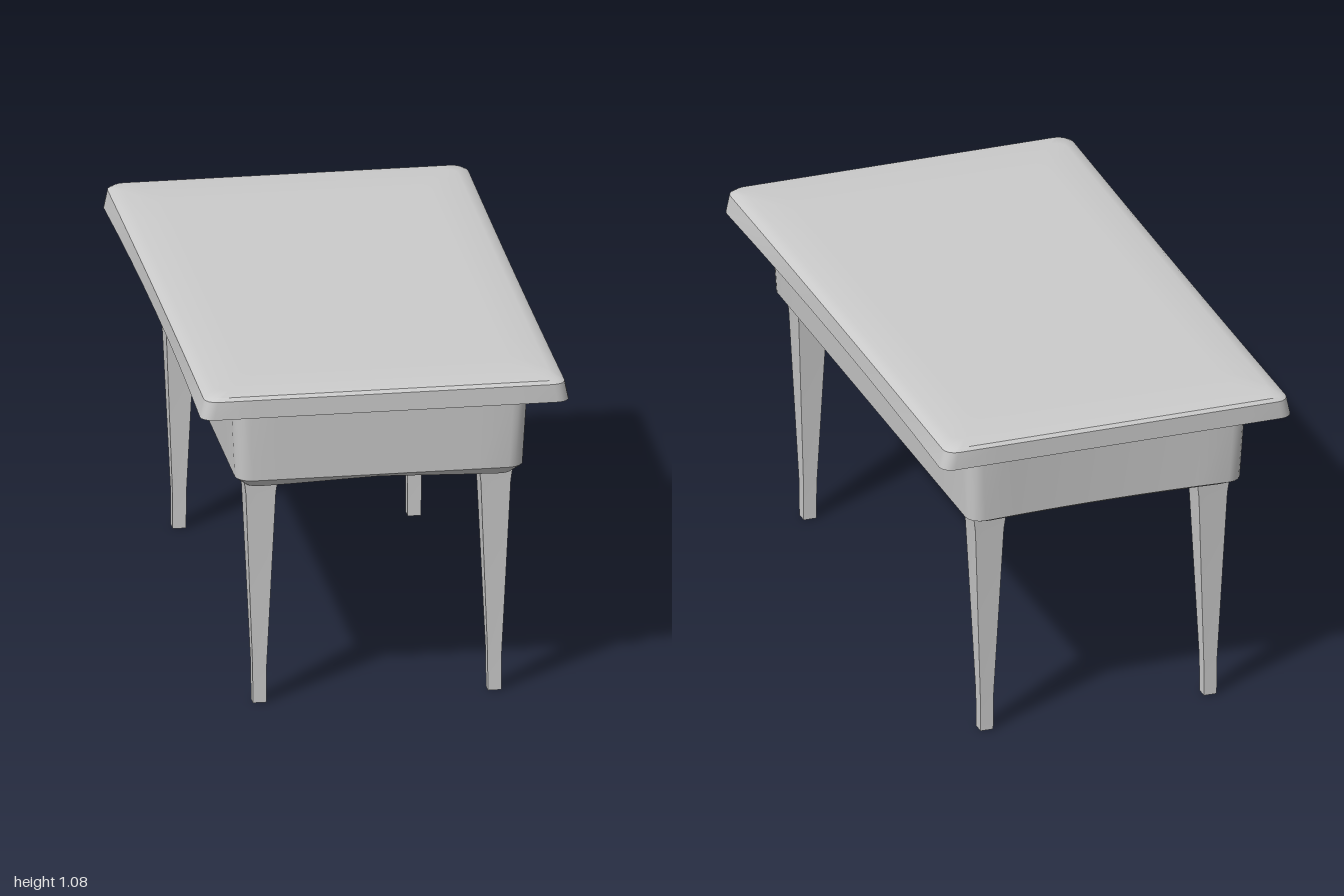
import * as THREE from 'three';
import { toCreasedNormals } from 'three/addons/utils/BufferGeometryUtils.js';

const material = new THREE.MeshStandardMaterial({ color: 0xcccccc });

// Rounded-rectangle outline with subdivided edges, as [x, z] points
function outline(hx, hz, r, steps = 4, edge = 8) {
  const corners = [[1, 1], [-1, 1], [-1, -1], [1, -1]];
  const pts = [];
  corners.forEach(([sx, sz], c) => {
    for (let i = 0; i <= steps; i++) {
      const a = (c + i / steps) * Math.PI / 2;
      pts.push([sx * (hx - r) + r * Math.cos(a), sz * (hz - r) + r * Math.sin(a)]);
    }
    const [nx, nz] = corners[(c + 1) % 4];
    const a = (c + 1) * Math.PI / 2;
    const ox = r * Math.cos(a), oz = r * Math.sin(a);
    for (let i = 1; i < edge; i++) {
      const t = i / edge;
      pts.push([
        THREE.MathUtils.lerp(sx, nx, t) * (hx - r) + ox,
        THREE.MathUtils.lerp(sz, nz, t) * (hz - r) + oz,
      ]);
    }
  });
  return pts;
}

// Closed solid through rings listed from bottom to top: { y, hx, hz, r }
function loft(rings, bend, crease) {
  const pos = [], index = [];
  let n = 0;
  rings.forEach((ring, k) => {
    const pts = outline(ring.hx, ring.hz, ring.r);
    n = pts.length;
    pts.forEach(([x, z]) => pos.push(...bend(x, ring.y, z, k)));
  });
  for (let k = 0; k < rings.length - 1; k++) {
    for (let i = 0; i < n; i++) {
      const a = k * n + i, b = k * n + (i + 1) % n;
      index.push(a, a + n, b, b, a + n, b + n);
    }
  }
  // Caps
  const last = rings.length - 1;
  const low = pos.length / 3;
  pos.push(...bend(0, rings[0].y, 0, 0), ...bend(0, rings[last].y, 0, last));
  for (let i = 0; i < n; i++) {
    const j = (i + 1) % n;
    index.push(low, i, j, low + 1, last * n + j, last * n + i);
  }
  const geo = new THREE.BufferGeometry();
  geo.setAttribute('position', new THREE.Float32BufferAttribute(pos, 3));
  geo.setIndex(index);
  return toCreasedNormals(geo, crease);
}

function add(parent, name, geometry) {
  const mesh = new THREE.Mesh(geometry, material);
  mesh.name = name;
  parent.add(mesh);
  return mesh;
}

// Tapered square leg: [y, half x, half z] sections from the foot up
function legGeometry() {
  const sections = [[0, 0.021, 0.02], [0.12, 0.022, 0.021], [0.7, 0.047, 0.046], [0.76, 0.055, 0.05]];
  const geo = new THREE.BoxGeometry(2, 1, 2, 1, sections.length - 1, 1);
  const p = geo.attributes.position;
  for (let i = 0; i < p.count; i++) {
    const [y, hx, hz] = sections[Math.round((p.getY(i) + 0.5) * (sections.length - 1))];
    p.setXYZ(i, p.getX(i) * hx, y, p.getZ(i) * hz);
  }
  return toCreasedNormals(geo, 0.5);
}

export function createModel() {
  const table = new THREE.Group();
  table.name = 'table';

  // Tabletop: flared sides, slightly waisted in the middle, soft upper edge
  const waist = [0.024, 0.006, 0.004, 0, 0];
  add(table, 'tabletop', loft([
    { y: 1.005, hx: 0.58, hz: 1.0, r: 0.04 },
    { y: 1.064, hx: 0.567, hz: 1.0, r: 0.04 },
    { y: 1.074, hx: 0.553, hz: 0.99, r: 0.04 },
    { y: 1.08, hx: 0.525, hz: 0.94, r: 0.04 },
    { y: 1.082, hx: 0.42, hz: 0.8, r: 0.04 },
  ], (x, y, z, k) => [x * (1 - waist[k] * (1 - z * z)), y, z], 0.5));

  // Apron: tapers downward, bevelled underneath, back end slightly hollow
  add(table, 'apron', loft([
    { y: 0.747, hx: 0.42, hz: 0.875, r: 0.04 },
    { y: 0.762, hx: 0.452, hz: 0.9, r: 0.05 },
    { y: 1.01, hx: 0.465, hz: 0.913, r: 0.05 },
  ], (x, y, z, k) => {
    const sag = k === 0 ? 0.014 * Math.max(0, z) * Math.min(1, Math.abs(x) / 0.35) : 0;
    const hollow = z < -0.8 ? 0.015 * Math.max(0, 1 - (x / 0.42) ** 2) : 0;
    return [x, y - sag, z + hollow];
  }, 0.5));

  // Legs
  const leg = legGeometry();
  for (const [sx, side] of [[1, 'Left'], [-1, 'Right']]) {
    for (const [sz, end] of [[1, 'front'], [-1, 'back']]) {
      add(table, `${end}${side}Leg`, leg).position.set(sx * 0.369, 0, sz * 0.8);
    }
  }
  return table;
}
